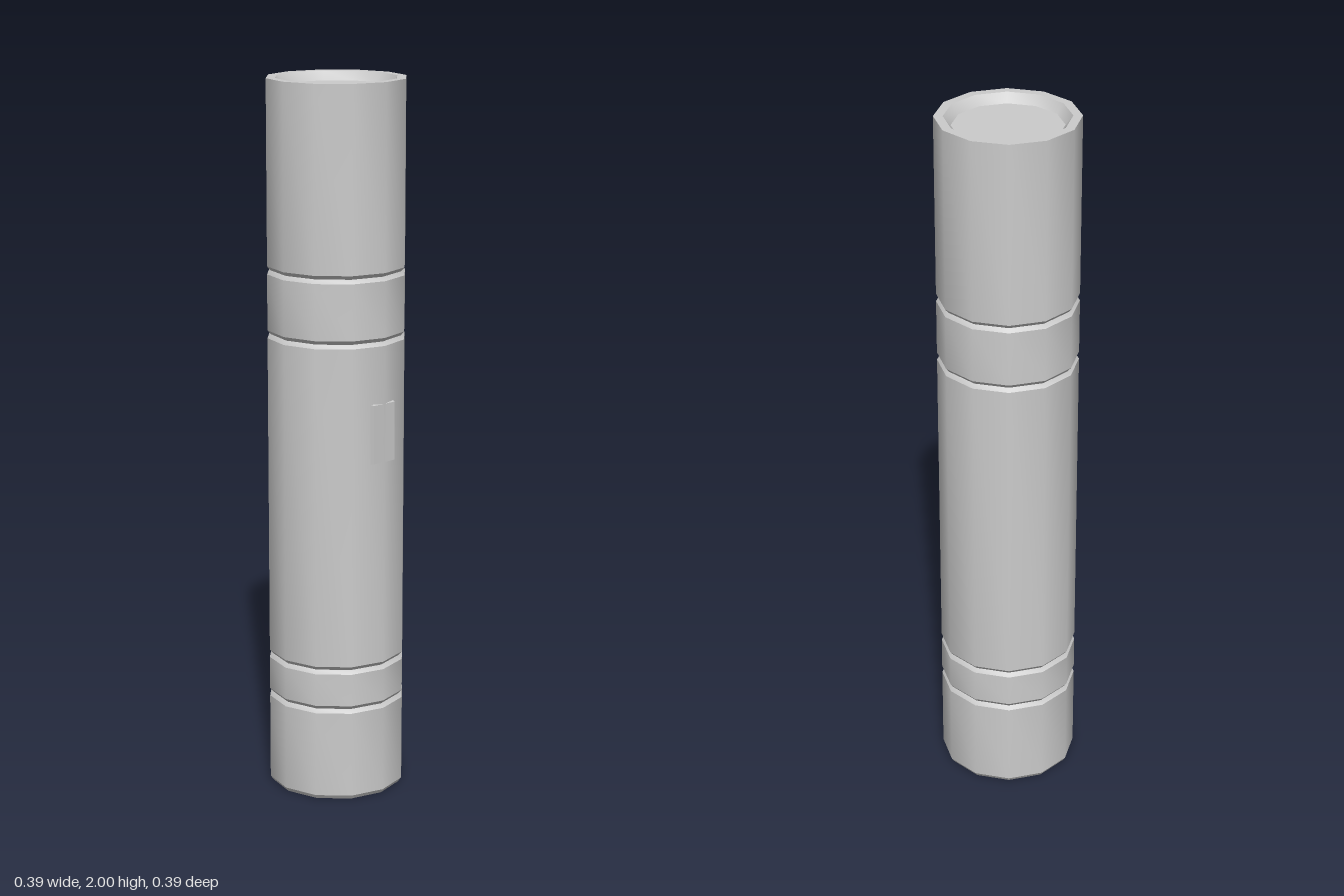
import * as THREE from 'three';
import { toCreasedNormals } from 'three/addons/utils/BufferGeometryUtils.js';

const SIDES = 12;
const R = 0.193;          // outer radius
const GROOVE_R = 0.184;   // radius at the bottom of a groove
const BEVEL = 0.011;      // half the height of a groove

export function createModel() {
  const group = new THREE.Group();
  group.name = 'flashlight';
  const material = new THREE.MeshStandardMaterial({ color: 0xcccccc });

  const add = (name, geometry) => {
    const mesh = new THREE.Mesh(geometry, material);
    mesh.name = name;
    group.add(mesh);
    return mesh;
  };

  // Turned part from [radius, height] pairs, smooth around and sharp at its edges
  const turned = (name, profile) => {
    const points = profile.map(([r, y]) => new THREE.Vector2(r, y));
    return add(name, toCreasedNormals(new THREE.LatheGeometry(points, SIDES), 0.56));
  };

  // Ends of a section that meet its neighbour in a V groove
  const grooveBelow = (y) => [[GROOVE_R, y], [R, y + BEVEL]];
  const grooveAbove = (y) => [[R, y - BEVEL], [GROOVE_R, y]];

  // Tail cap with a chamfered foot
  turned('tailCap', [[0, 0], [0.185, 0], [R, 0.012], ...grooveAbove(0.268)]);

  // Sections between the grooves
  const sections = [
    ['tailRing', 0.268, 0.383],
    ['barrel', 0.383, 1.305],
    ['collar', 1.305, 1.482],
  ];
  for (const [name, low, high] of sections) {
    turned(name, [...grooveBelow(low), ...grooveAbove(high)]);
  }

  // Head with a rim and a sloping inner wall
  turned('head', [...grooveBelow(1.482), [R, 2], [0.168, 2], [0.148, 1.975]]);

  // Lens closing the recess
  const lens = add('lens', new THREE.CircleGeometry(0.148, SIDES));
  lens.rotation.x = -Math.PI / 2;
  lens.position.y = 1.975;

  // Switch: a low block whose outer face is slightly smaller than its base
  const block = new THREE.BoxGeometry(0.022, 0.172, 0.09).toNonIndexed();
  const pos = block.attributes.position;
  for (let i = 0; i < pos.count; i++) {
    if (pos.getX(i) > 0) {
      pos.setY(i, pos.getY(i) * 0.95);
      pos.setZ(i, pos.getZ(i) * 0.86);
    }
  }
  block.computeVertexNormals();
  add('switchButton', block).position.set(0.181, 1.052, 0);

  return group;
}
